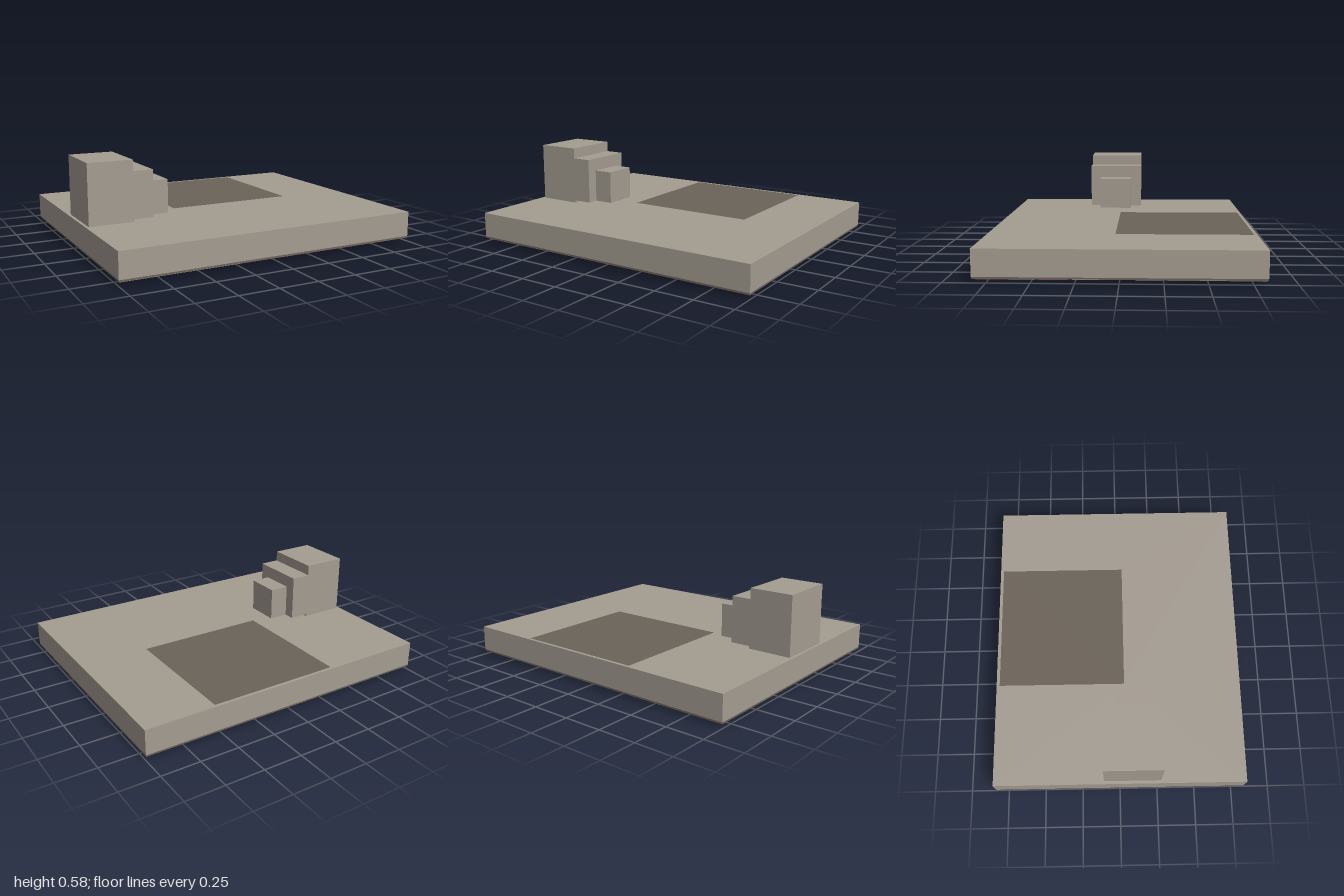
import * as THREE from 'three';

const mat = (name, color) => {
  const m = new THREE.MeshStandardMaterial({ color });
  m.name = name;
  return m;
};

export function createModel() {
  const stone = mat('warm stone', 0xa49c91);
  const dark = mat('dark taupe', 0x6b6359);
  const grey = mat('corridor grey', 0xa39d95);
  const maroon = mat('maroon', 0x8e4852);
  const brown = mat('tan brown', 0xab8874);
  const olive = mat('olive', 0x726b4c);

  const group = new THREE.Group();
  const add = (name, geometry, material) => {
    const mesh = new THREE.Mesh(geometry, material);
    mesh.name = name;
    group.add(mesh);
  };

  // Box given by its extents on each axis
  const block = (name, material, x0, x1, y0, y1, z0, z1) => {
    const g = new THREE.BoxGeometry(x1 - x0, y1 - y0, z1 - z0);
    g.translate((x0 + x1) / 2, (y0 + y1) / 2, (z0 + z1) / 2);
    add(name, g, material);
  };

  const rect = (target, x0, x1, z0, z1) =>
    target.moveTo(x0, z0).lineTo(x1, z0).lineTo(x1, z1).lineTo(x0, z1).closePath();

  // Rectangular slab with the courtyard cut through it
  const slab = (name, material, w, d, y0, y1) => {
    const shape = rect(new THREE.Shape(), -w, w, -d, d);
    shape.holes.push(rect(new THREE.Path(), -0.32, 0.54, -0.812, 0.04));
    const g = new THREE.ExtrudeGeometry(shape, { depth: y1 - y0, bevelEnabled: false });
    g.rotateX(Math.PI / 2).translate(0, y1, 0);
    add(name, g, material);
  };

  // Main storey, the darker strip under it, and the courtyard cover
  slab('storey', stone, 1, 0.833, 0.035, 0.197);
  slab('baseStrip', dark, 0.999, 0.832, 0.024, 0.035);
  slab('corridorFloor', grey, 0.992, 0.825, 0.021, 0.024);
  block('courtyardCover', dark, -0.32, 0.54, 0.188, 0.197, -0.812, 0.04);

  // Room floors, seen from underneath
  const rooms = [
    ['largeRoomFloor', maroon, -0.24, 0.99, 0.29, 0.823],
    ['cornerRoomFloor', brown, -0.99, -0.24, 0.28, 0.823],
    ['backRoomFloor', brown, -0.99, -0.325, -0.823, -0.11],
    ['sideRoomFloor', dark, 0.545, 0.99, -0.823, -0.27],
  ];
  for (const [name, material, x0, x1, z0, z1] of rooms) {
    block(name, material, x0, x1, 0.019, 0.022, z0, z1);
  }
  block('floorPatch', olive, 0.29, 0.47, 0.0175, 0.02, 0.45, 0.52);

  // Stepped tower on the roof
  block('towerTall', stone, -0.98, -0.69, 0.19, 0.585, -0.105, 0.27);
  block('towerMiddle', stone, -0.69, -0.56, 0.213, 0.515, -0.105, 0.27);
  block('towerLow', stone, -0.56, -0.43, 0.213, 0.43, -0.03, 0.195);

  // Small wedge hanging under the corridor
  const wedge = new THREE.Shape().moveTo(-0.73, 0.021).lineTo(-0.69, 0).lineTo(-0.69, 0.021).closePath();
  const wedgeGeometry = new THREE.ExtrudeGeometry(wedge, { depth: 0.18, bevelEnabled: false });
  add('wedge', wedgeGeometry.translate(0, 0, 0.09), maroon);

  return group;
}
